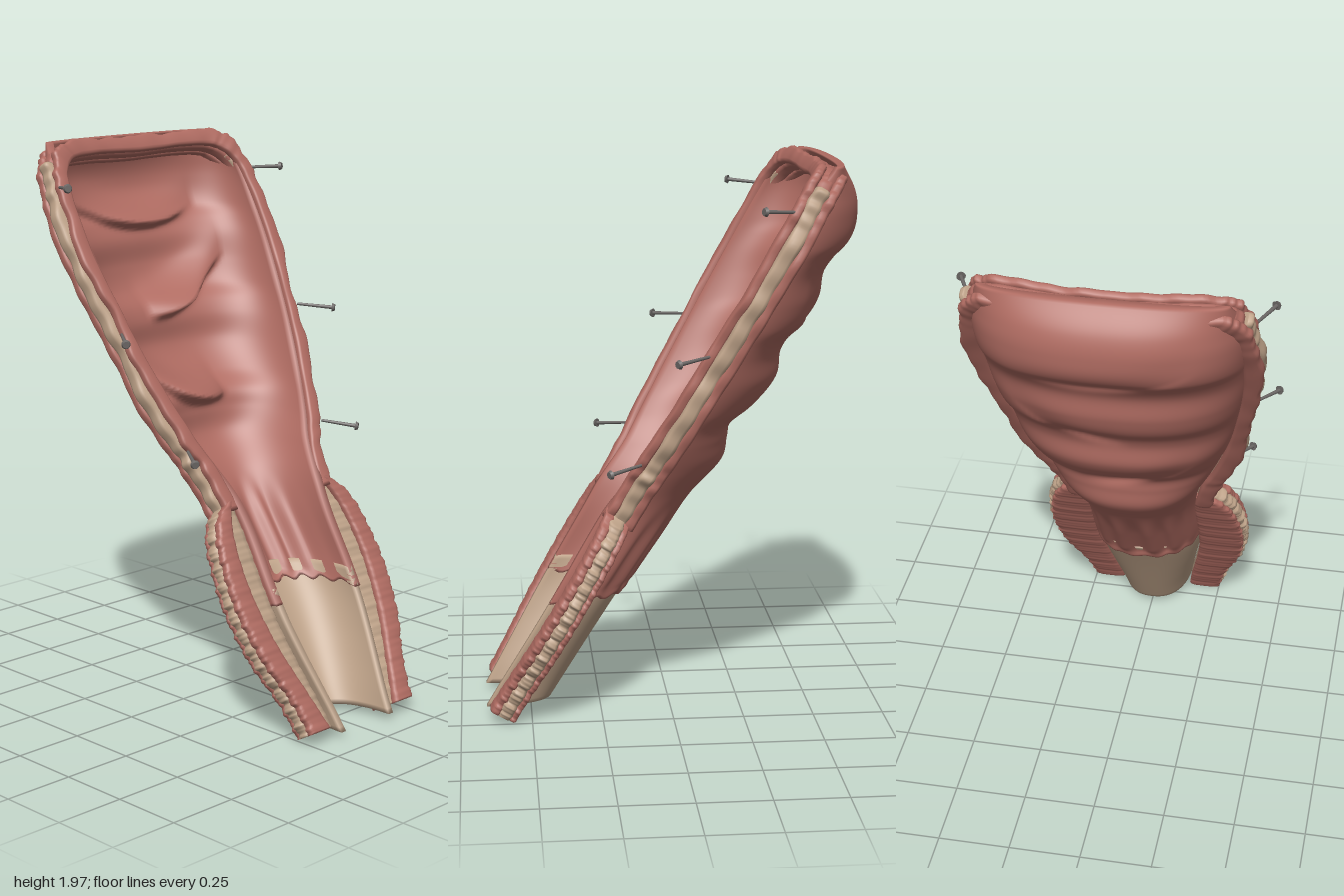
import * as THREE from 'three';

const red = new THREE.MeshStandardMaterial({ color: 0xb06c62 }); red.name = 'red tissue';
const beige = new THREE.MeshStandardMaterial({ color: 0xc0a48a }); beige.name = 'beige muscle';
const steel = new THREE.MeshStandardMaterial({ color: 0x6c6866 }); steel.name = 'pin grey';

// Smooth curve through [position, value] pairs
function curve(pairs) {
  const it = new THREE.CubicInterpolant(pairs.map(p => p[0]), pairs.map(p => p[1]), 1, [0]);
  return t => it.evaluate(t)[0];
}
const clamp = THREE.MathUtils.clamp, smooth = THREE.MathUtils.smoothstep;
const wobble = t => 0.5 * Math.sin(t * 41) + 0.3 * Math.sin(t * 73 + 1) + 0.3 * Math.sin(t * 127 + 2);

// Sloping cut plane, trough half width and back wall, all by height
const frontX = y => 0.68 - 0.571 * y;
const NORMAL = new THREE.Vector3(0.868, 0.496, 0);
const halfWidth = curve([[0.03, 0.14], [0.1, 0.15], [0.2, 0.17], [0.3, 0.19], [0.4, 0.205], [0.5, 0.21], [0.7, 0.21],
  [0.8, 0.225], [0.9, 0.26], [1, 0.305], [1.2, 0.37], [1.4, 0.415], [1.7, 0.45], [1.85, 0.445], [1.97, 0.4]]);
const backX = curve([[0.03, 0.42], [0.43, 0.17], [0.68, 0], [0.8, -0.09], [0.92, -0.195], [1.0, -0.21], [1.06, -0.225], [1.12, -0.3],
  [1.22, -0.38], [1.32, -0.395], [1.37, -0.425], [1.42, -0.485], [1.5, -0.525], [1.6, -0.54], [1.65, -0.575],
  [1.7, -0.63], [1.8, -0.65], [1.88, -0.635], [1.97, -0.58]]);

// Crescent folds inside the pouch: centre z, half span, height, tilt, sag
const FOLDS = [[0, 0.31, 1.66, 0.03, 0.08], [-0.14, 0.2, 1.39, -0.1, 0.05], [0.07, 0.2, 1.08, 0.08, 0.06]];
function foldBump(y, z) {
  let sum = 0;
  for (const [z0, span, y0, tilt, sag] of FOLDS) {
    const t = (z - z0) / span;
    if (Math.abs(t) >= 1) continue;
    const d = y - (y0 + tilt * t + sag * t * t);
    sum += (1 - t * t) * Math.exp(-((d / (d > 0 ? 0.075 : 0.022)) ** 2));
  }
  return sum;
}

// Closed loft through rings of points, with both ends filled
function loft(name, nu, nv, point, material) {
  const pos = [], idx = [];
  for (let i = 0; i < nu; i++) for (let j = 0; j < nv; j++) pos.push(...point(i / (nu - 1), j));
  const quad = (a, b, c, d) => idx.push(a, b, c, a, c, d);
  for (let i = 0; i < nu - 1; i++) for (let j = 0; j < nv; j++) {
    const k = (j + 1) % nv;
    quad(i * nv + j, i * nv + k, (i + 1) * nv + k, (i + 1) * nv + j);
  }
  const e = (nu - 1) * nv;
  for (let j = 0; j < nv / 2 - 1; j++) {
    quad(j + 1, j, nv - 1 - j, nv - 2 - j);
    quad(e + j, e + j + 1, e + nv - 2 - j, e + nv - 1 - j);
  }
  // Turn the faces outward if the enclosed volume comes out negative
  let vol = 0;
  const at = k => new THREE.Vector3().fromArray(pos, k * 3);
  for (let k = 0; k < idx.length; k += 3) vol += at(idx[k]).dot(at(idx[k + 1]).cross(at(idx[k + 2])));
  if (vol < 0) idx.reverse();
  const geo = new THREE.BufferGeometry();
  geo.setAttribute('position', new THREE.Float32BufferAttribute(pos, 3));
  geo.setIndex(idx);
  geo.computeVertexNormals();
  const mesh = new THREE.Mesh(geo, material);
  mesh.name = name;
  return mesh;
}

// Thick open trough between two heights
function trough(name, y0, y1, rows, shrink, thick, material, detailed) {
  const M = 64;
  return loft(name, rows, M * 2, (v, j) => {
    const inner = j >= M;
    const a = ((inner ? 2 * M - 1 - j : j) / (M - 1) - 0.5) * Math.PI;
    const s = Math.sin(a), c = Math.max(0, Math.cos(a));
    let y = y0 + (y1 - y0) * v;
    if (detailed) y += 0.008 * Math.sin(a * 17) * (1 - smooth(v, 0, 0.04));
    const inset = shrink + (inner ? thick : 0);
    const w = halfWidth(y) - inset;
    const z = Math.sign(s) * w * Math.abs(s) ** 0.85;
    const xf = frontX(y) - 0.025 * smooth(y, 0.75, 0.95) - 0.05 * smooth(y, 1.85, 1.97);
    const xb = backX(y) + inset;
    let x = xf - (xf - xb) * c ** 0.85;
    if (detailed) {
      // Pleats above the lower edge, folds further up
      const pleat = smooth(y, 0.43, 0.5) * (1 - smooth(y, 0.62, 0.8));
      x += c * (0.012 * pleat * Math.cos(a * 15) - (inner ? -0.008 : 0.008) * (1 - smooth(v, 0, 0.02)));
      x += c * foldBump(y, z) * (inner ? 0.085 : 0.015);
    }
    return [x, y, z];
  }, material);
}

// Rounded ribbon lying in the cut plane between an inner and an outer edge
function ribbon(name, edges, t0, t1, b0, b1, grow, lump, seed, material, n = 150) {
  const V = 14;
  return loft(name, n, V, (u, j) => {
    const t = t0 + (t1 - t0) * u;
    const [inner, outer] = edges(t);
    const dir = outer.clone().sub(inner).normalize();
    outer.addScaledVector(dir, grow + lump * wobble(t * 2.2 + seed));
    const a = (j + 0.5) / V * Math.PI * 2, c = Math.cos(a), s = Math.sin(a);
    const p = inner.clone().lerp(outer, 0.5 + 0.5 * Math.sign(c) * Math.abs(c) ** 0.6);
    const depth = (b0 + b1) / 2 + (b1 - b0) / 2 * Math.sign(s) * Math.abs(s) ** 0.6;
    p.addScaledVector(NORMAL, depth + 0.25 * lump * wobble(t * 1.7 + seed + 2));
    return p.toArray();
  }, material);
}

// Point on the cut plane, bent back slightly along the top edge
function onPlane(y, z) {
  const x = frontX(y) - 0.05 * smooth(y, 1.85, 1.95) * Math.max(0, 1 - (z / 0.45) ** 2);
  return new THREE.Vector3(x, y, z);
}

// Edges of the upper rim, from one neck over the top to the other: y, z
const OUTER = [[0.76, 0.27], [0.9, 0.305], [1, 0.35], [1.2, 0.415], [1.4, 0.445], [1.6, 0.49], [1.8, 0.485],
  [1.9, 0.465], [1.96, 0.43], [1.985, 0.38], [1.99, 0.2], [1.985, 0]];
const INNER = [[0.76, 0.205], [0.9, 0.24], [1, 0.285], [1.2, 0.35], [1.4, 0.395], [1.6, 0.425], [1.8, 0.425],
  [1.87, 0.41], [1.91, 0.37], [1.925, 0.33], [1.93, 0.2], [1.925, 0]];
function rimCurve(half) {
  const back = half.slice(0, -1).reverse().map(([y, z]) => [y, -z]);
  return new THREE.CatmullRomCurve3([...half, ...back].map(([y, z]) => onPlane(y, z)));
}
const outerRim = rimCurve(OUTER), innerRim = rimCurve(INNER);
const rimEdges = t => [innerRim.getPoint(t), outerRim.getPoint(t)];

// Edges of the flared lower wings, by height
const wingOuter = curve([[0.06, 0.265], [0.12, 0.275], [0.2, 0.3], [0.3, 0.345], [0.4, 0.37], [0.5, 0.38], [0.6, 0.37],
  [0.7, 0.345], [0.76, 0.3], [0.79, 0.25]]);
const wingRed = curve([[0.06, 0.165], [0.2, 0.215], [0.3, 0.25], [0.4, 0.275], [0.55, 0.29], [0.7, 0.27], [0.79, 0.23]]);
function wingEdges(side, innerEdge) {
  return t => {
    const y = 0.06 + 0.73 * t;
    return [onPlane(y, side * innerEdge(y)), onPlane(y, side * wingOuter(y))];
  };
}

// Pin from its buried tip to its flat head
function pin(tip, head) {
  const g = new THREE.Group();
  g.name = 'pin';
  const a = new THREE.Vector3(...tip), b = new THREE.Vector3(...head), len = a.distanceTo(b);
  const shaft = new THREE.Mesh(new THREE.CylinderGeometry(0.007, 0.005, len, 10), steel);
  shaft.name = 'pinShaft';
  const cap = new THREE.Mesh(new THREE.CylinderGeometry(0.012, 0.016, 0.01, 14), steel);
  cap.name = 'pinHead';
  cap.position.y = len / 2;
  g.add(shaft, cap);
  g.position.copy(a).add(b).multiplyScalar(0.5);
  g.quaternion.setFromUnitVectors(new THREE.Vector3(0, 1, 0), b.clone().sub(a).normalize());
  return g;
}

export function createModel() {
  const model = new THREE.Group();
  model.name = 'openedPouch';

  // Red pouch with a pleated neck, and the beige channel below it
  model.add(trough('pouch', 0.44, 1.97, 170, 0, 0.03, red, true));
  model.add(trough('lowerChannel', 0.035, 0.5, 30, 0.008, 0.022, beige, false));

  // Layered upper rim
  model.add(ribbon('rimFront', rimEdges, 0, 1, -0.035, 0, -0.012, 0.009, 0, red, 260));
  model.add(ribbon('rimBack', rimEdges, 0, 1, -0.115, -0.075, 0, 0.008, 3, red, 260));
  model.add(ribbon('rimCore', rimEdges, 0.3, 0.7, -0.085, -0.03, -0.012, 0.004, 2, red));
  model.add(ribbon('rimMuscle', rimEdges, 0, 0.34, -0.085, -0.028, 0.002, 0.012, 1, beige));
  model.add(ribbon('rimMuscle', rimEdges, 0.66, 1, -0.085, -0.028, 0.002, 0.012, 5, beige));

  for (const side of [1, -1]) {
    // Flared wings: red skin in front and behind, beige between
    const seed = side + 2;
    const full = wingEdges(side, y => halfWidth(y) - 0.012);
    model.add(ribbon('wingMuscle', full, 0, 1, -0.08, -0.02, 0, 0.01, seed, beige));
    model.add(ribbon('wingFront', wingEdges(side, wingRed), 0, 1, -0.035, 0.002, -0.005, 0.006, seed + 1, red));
    model.add(ribbon('wingBack', full, 0, 1, -0.1, -0.07, -0.012, 0.006, seed + 2, red));

    // Three pins on each side
    model.add(pin([-0.4, 1.83, side * 0.455], [-0.27, 1.84, side * 0.518]));
    model.add(pin([-0.1, 1.35, side * 0.435], [0.01, 1.34, side * 0.513]));
    model.add(pin([0.12, 0.96, side * 0.335], [0.23, 0.945, side * 0.405]));
  }
  return model;
}
